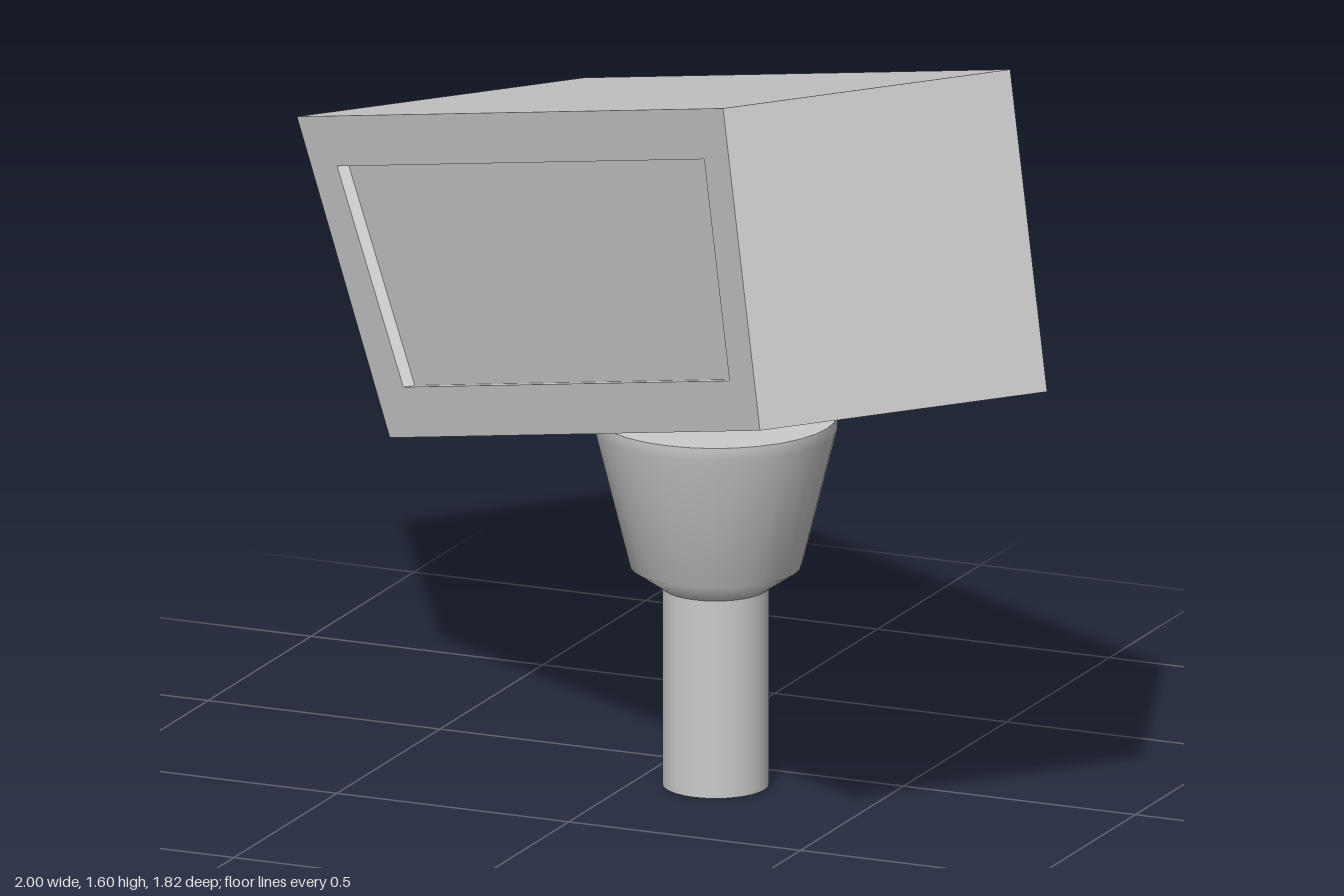
import * as THREE from 'three';

const WIDTH = 0.63, WALL = 0.04, RECESS = 0.025;
const deg = THREE.MathUtils.degToRad;

export function createModel() {
  const model = new THREE.Group();
  const grey = new THREE.MeshStandardMaterial({ color: 0xcccccc });
  const greyOpen = new THREE.MeshStandardMaterial({ color: 0xcccccc, side: THREE.DoubleSide });

  const add = (parent, name, geometry, material = grey) => {
    const mesh = new THREE.Mesh(geometry, material);
    mesh.name = name;
    parent.add(mesh);
    return mesh;
  };
  const points = (list) => list.map(([x, y]) => new THREE.Vector2(x, y));
  const slab = (shape, depth) =>
    new THREE.ExtrudeGeometry(shape, { depth, bevelEnabled: false });

  // Side profile of the housing and of the sunken panel in each side
  const outline = points([[0, 0], [1.72, 0], [1.72, 0.64], [-0.26, 0.64]]);
  const opening = points([[0.09, 0.1], [1.605, 0.1], [1.605, 0.54], [-0.1, 0.54]]);

  // Housing: turned sideways and tilted up towards its closed end
  const housing = new THREE.Group();
  housing.name = 'housing';
  housing.rotation.set(0, deg(-40), deg(15), 'YXZ');
  housing.position.set(-0.476, 0.535, -0.4);
  model.add(housing);

  // Floor, closed end and roof as one C-shaped section, open at the slanted end
  const t = 0.032;
  const section = new THREE.Shape(points([
    [0, 0], [1.72, 0], [1.72, 0.64], [-0.26, 0.64],
    [-0.26 + t * 0.41, 0.64 - t], [1.72 - t, 0.64 - t], [1.72 - t, t], [-t * 0.41, t],
  ]));
  const shell = add(housing, 'housingShell', slab(section, WIDTH - 2 * WALL));
  shell.position.z = -WIDTH / 2 + WALL;

  // Side walls: a frame flush with the outside and a panel set back inside it
  const frameShape = new THREE.Shape(outline);
  frameShape.holes.push(new THREE.Path(opening));
  for (const [side, label] of [[1, 'front'], [-1, 'back']]) {
    const frame = add(housing, label + 'SideFrame', slab(frameShape, RECESS));
    frame.position.z = side > 0 ? WIDTH / 2 - RECESS : -WIDTH / 2;
    const panel = add(housing, label + 'SidePanel', slab(new THREE.Shape(outline), WALL - RECESS));
    panel.position.z = side > 0 ? WIDTH / 2 - WALL : -WIDTH / 2 + RECESS;
  }

  // Stand: round post below a flared mounting cup
  const stand = new THREE.Group();
  stand.name = 'stand';
  stand.position.set(0.155, 0, 0.135);
  model.add(stand);

  const post = add(stand, 'post', new THREE.CylinderGeometry(0.105, 0.105, 0.42, 32, 1, true), greyOpen);
  post.position.y = 0.21;

  add(stand, 'mountCup', new THREE.LatheGeometry(
    points([[0.105, 0.405], [0.17, 0.45], [0.24, 0.73], [0.24, 0.757]]), 32), greyOpen);
  const cap = add(stand, 'mountCupTop', new THREE.CircleGeometry(0.24, 32));
  cap.rotation.x = -Math.PI / 2;
  cap.position.y = 0.757;

  return model;
}
